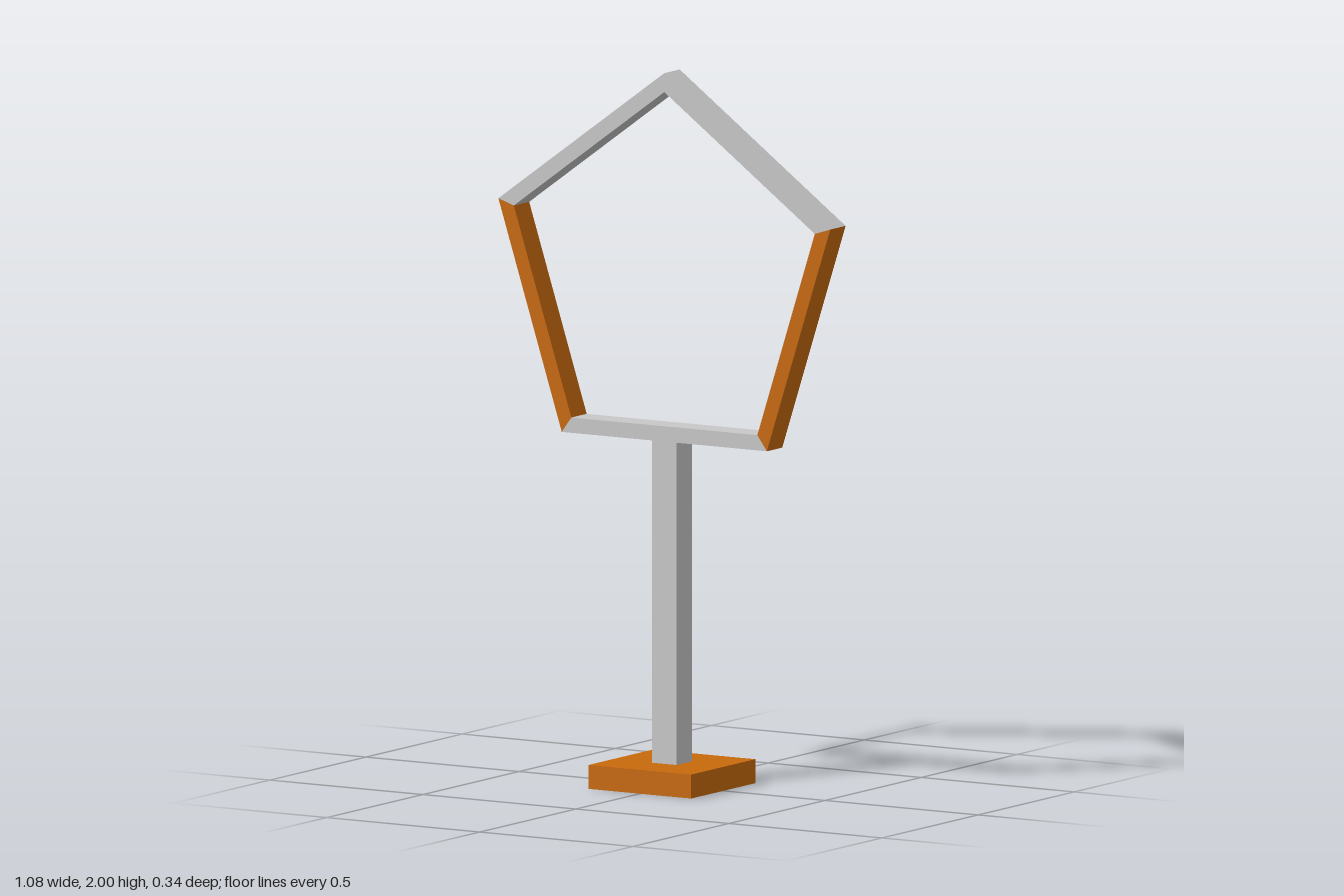
import * as THREE from 'three';

const DEPTH = 0.08;
const CENTRE_Y = 1.43;
const OUTER = 0.57;
const INNER = 0.517;

export function createModel() {
  const model = new THREE.Group();
  model.name = 'ringOnStand';

  const grey = new THREE.MeshStandardMaterial({ color: 0xc8c8c8 });
  grey.name = 'light grey';
  const orange = new THREE.MeshStandardMaterial({ color: 0xc86a0c });
  orange.name = 'orange';

  const add = (name, geometry, material, y) => {
    const mesh = new THREE.Mesh(geometry, material);
    mesh.name = name;
    mesh.position.y = y;
    model.add(mesh);
    return mesh;
  };

  // Square foot and post
  add('base', new THREE.BoxGeometry(0.335, 0.067, 0.335), orange, 0.0335);
  add('post', new THREE.BoxGeometry(DEPTH, 0.903, DEPTH), grey, 0.5185);

  // Pentagon ring: five mitred bars, counter-clockwise from the apex
  const corner = (i, radius) => {
    const a = Math.PI / 2 + (i * Math.PI * 2) / 5;
    return new THREE.Vector2(Math.cos(a) * radius, Math.sin(a) * radius);
  };
  const bars = [
    ['upperRightBar', grey],
    ['lowerRightBar', orange],
    ['bottomBar', grey],
    ['lowerLeftBar', orange],
    ['upperLeftBar', grey],
  ];
  bars.forEach(([name, material], i) => {
    const shape = new THREE.Shape([
      corner(i, OUTER), corner(i + 1, OUTER),
      corner(i + 1, INNER), corner(i, INNER),
    ]);
    const geometry = new THREE.ExtrudeGeometry(shape, { depth: DEPTH, bevelEnabled: false });
    geometry.translate(0, 0, -DEPTH / 2);
    add(name, geometry, material, CENTRE_Y);
  });

  return model;
}
